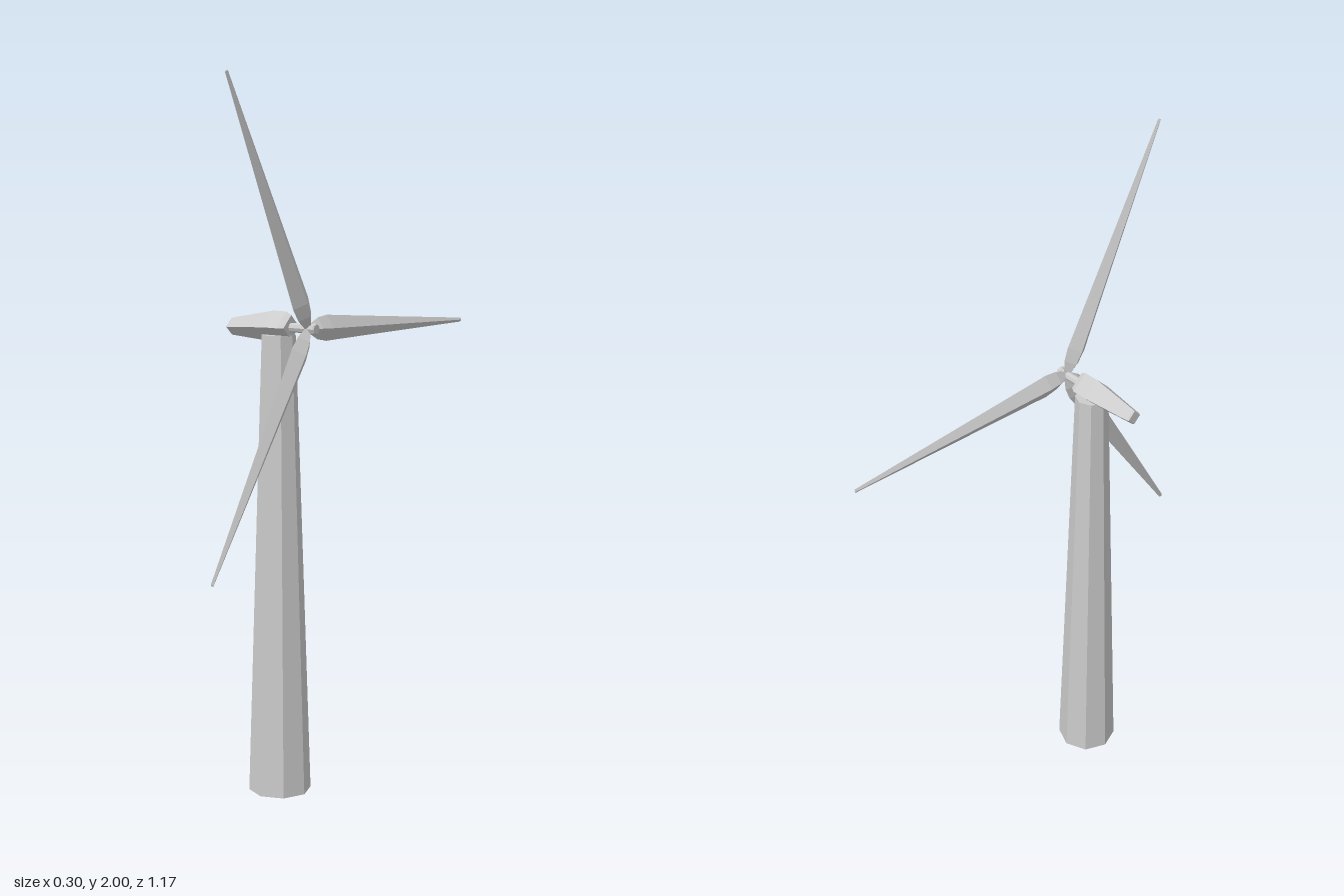
import * as THREE from 'three';

const material = new THREE.MeshStandardMaterial({ color: 0xcccccc, flatShading: true });
const AXIS_Y = 1.322, AXIS_Z = 0.203, TOWER_X = 0.018, ROTOR_X = 0.122;

function add(parent, name, geometry) {
  const mesh = new THREE.Mesh(geometry, material);
  mesh.name = name;
  parent.add(mesh);
  return mesh;
}

// Faceted solid of revolution from [radius, height] pairs, listed upwards
function facetedLathe(profile, sides) {
  return new THREE.LatheGeometry(profile.map(([r, y]) => new THREE.Vector2(r, y)), sides);
}

export function createModel() {
  const model = new THREE.Group();
  model.name = 'windTurbine';

  // Tapered octagonal tower
  const towerHeight = 1.3;
  const tower = add(model, 'tower', new THREE.CylinderGeometry(0.047, 0.088, towerHeight, 8));
  tower.position.set(TOWER_X, towerHeight / 2, AXIS_Z);

  // Diamond-section nacelle, tapering and dropping slightly towards the tail
  const housing = facetedLathe([
    [0, -0.152], [0.021, -0.152], [0.024, -0.147], [0.043, 0],
    [0.043, 0.045], [0.034, 0.062], [0, 0.062],
  ], 4);
  housing.rotateZ(-Math.PI / 2);
  housing.scale(1, 1, 1.03);
  const pos = housing.attributes.position;
  for (let i = 0; i < pos.count; i++) {
    pos.setY(i, pos.getY(i) + Math.min(0, pos.getX(i)) * 0.06);
  }
  add(model, 'nacelle', housing).position.set(0, AXIS_Y, AXIS_Z);

  // Rotor: shaft, hub cap and three blades turning about the x axis
  const rotor = new THREE.Group();
  rotor.name = 'rotor';
  rotor.position.set(ROTOR_X, AXIS_Y, AXIS_Z);
  model.add(rotor);

  const shaft = facetedLathe([
    [0, -0.08], [0.013, -0.08], [0.013, 0.014], [0.016, 0.016], [0.016, 0.024], [0.013, 0.027], [0, 0.027],
  ], 8);
  shaft.rotateZ(-Math.PI / 2);
  add(rotor, 'shaftAndHub', shaft);

  // Diamond-section blade, pinched at the root and slender at the tip
  const blade = facetedLathe([
    [0, 0], [0.013, 0.004], [0.03, 0.04], [0.036, 0.08], [0.033, 0.14], [0.006, 0.755], [0, 0.757],
  ], 4);
  blade.scale(0.68, 1, 1);
  for (let i = 0; i < 3; i++) {
    add(rotor, `blade${i + 1}`, blade).rotation.x = THREE.MathUtils.degToRad(26.6 + i * 120.5);
  }

  return model;
}
